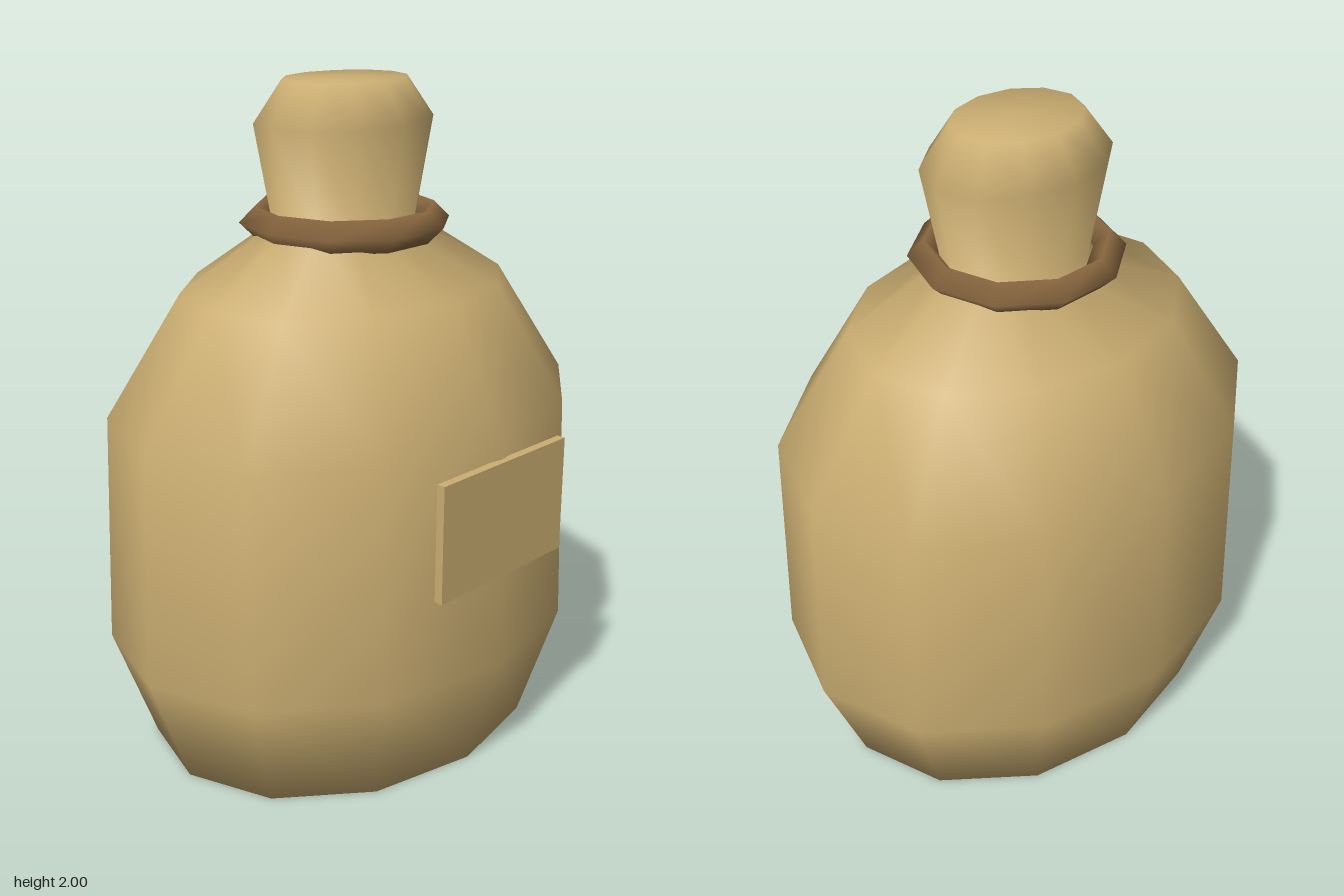
import * as THREE from 'three';

export function createModel() {
  const group = new THREE.Group();
  group.name = 'tiedSack';

  const cloth = new THREE.MeshStandardMaterial({ color: 0xcbae72 });
  cloth.name = 'tan cloth';
  const rope = new THREE.MeshStandardMaterial({ color: 0x8a6840 });
  rope.name = 'brown rope';

  const add = (name, geometry, material) => {
    const mesh = new THREE.Mesh(geometry, material);
    mesh.name = name;
    group.add(mesh);
    return mesh;
  };

  // Sack: one smooth twelve-sided lathe, flattened front to back
  const profile = [
    [0, 0], [0.66, 0], [0.795, 0.36], [0.77, 1.06], [0.53, 1.41],
    [0.235, 1.59], [0.29, 1.88], [0.2, 2], [0, 2],
  ].map(([r, y]) => new THREE.Vector2(r, y));
  add('sack', new THREE.LatheGeometry(profile, 12).scale(1, 1, 0.8), cloth);

  // Rope tied around the neck
  add('ropeTie', new THREE.TorusGeometry(0.265, 0.048, 4, 10).rotateX(Math.PI / 2), rope)
    .position.y = 1.589;

  // Patch on the front
  add('frontPatch', new THREE.BoxGeometry(0.53, 0.35, 0.026), cloth)
    .position.set(0, 0.825, 0.623);

  return group;
}
